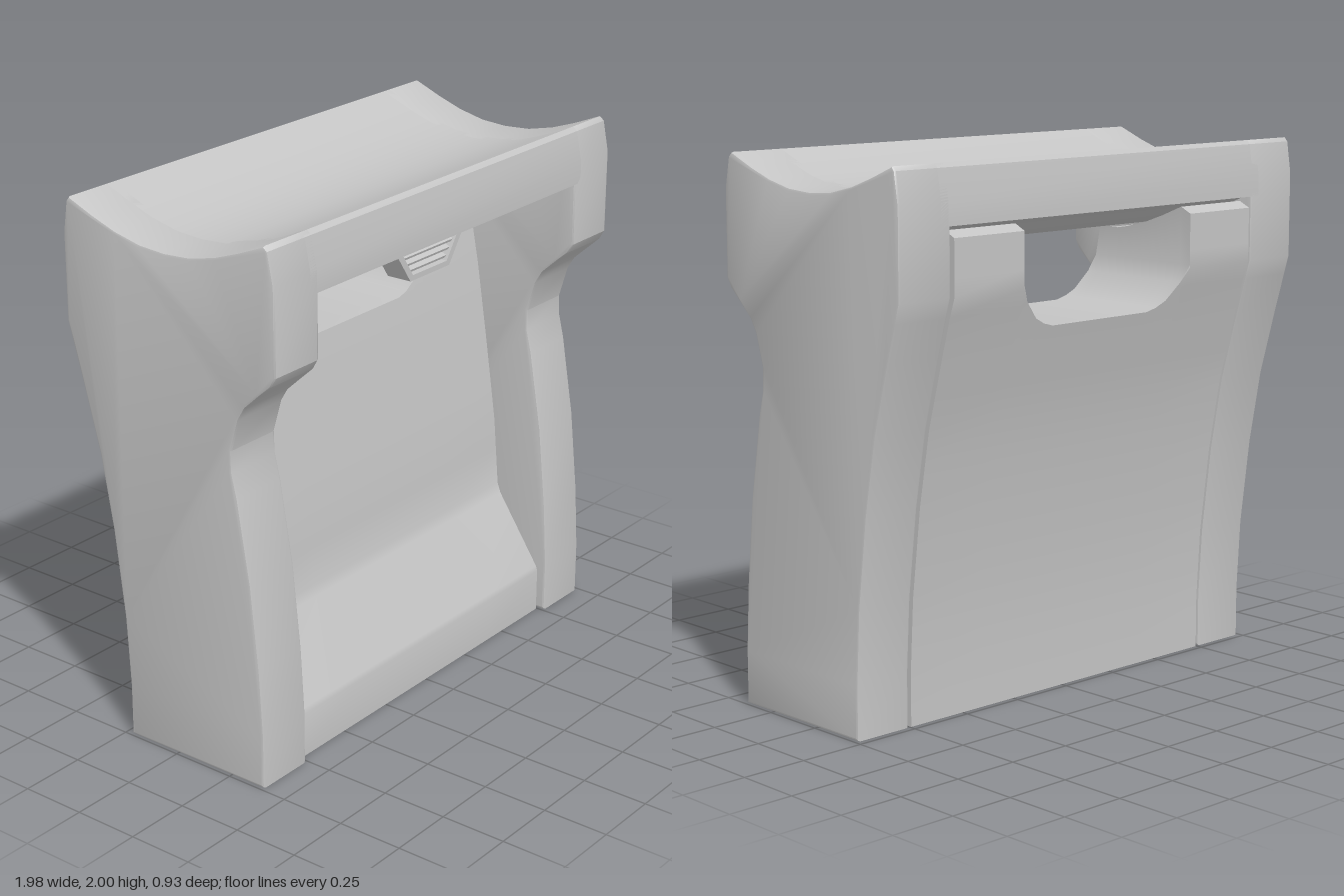
import * as THREE from 'three';
import { toCreasedNormals } from 'three/addons/utils/BufferGeometryUtils.js';

// Saddle-shaped top, as [z, y]; the beam's underside runs parallel to it.
const SADDLE = [[0.43, 2], [0.32, 1.955], [0.22, 1.92], [0.11, 1.895], [0, 1.888],
  [-0.11, 1.895], [-0.22, 1.92], [-0.32, 1.955], [-0.43, 2]];
const BEAM = 0.21;

// Side outlines, bottom to top, as [z, y]
const FRONT = [[0.40, 0], [0.40, 0.2], [0.385, 0.45], [0.352, 0.77], [0.30, 1.08], [0.278, 1.17],
  [0.275, 1.25], [0.31, 1.37], [0.34, 1.42], [0.40, 1.475], [0.45, 1.52], [0.47, 1.555]];
const UPPER_FRONT = [[0.47, 1.87], [0.447, 1.985]];
const BACK = [[-0.225, 0], [-0.225, 0.2], [-0.24, 0.47], [-0.28, 0.8], [-0.33, 1.08],
  [-0.40, 1.34], [-0.44, 1.48], [-0.46, 1.55]];
const UPPER_BACK = [[-0.46, 1.87], [-0.442, 1.985]];

// Front face of the panel
const PANEL_FRONT = [[0.37, 0], [0.37, 0.18], [0.17, 0.48], [0.145, 0.77], [0.10, 1.08], [0.05, 1.4], [0, 1.66]];

// Piecewise linear lookup of column b at column a = v
function lookup(rows, a, b, v) {
  for (let i = 1; i < rows.length; i++) {
    const p = rows[i - 1], q = rows[i];
    if ((v - p[a]) * (v - q[a]) <= 0) return p[b] + (q[b] - p[b]) * (v - p[a]) / (q[a] - p[a]);
  }
  return rows[rows.length - 1][b];
}

// Extrude a [z, y] outline along x from x0 to x1
function sideExtrude(points, x0, x1, bevel) {
  const shape = new THREE.Shape(points.map(([z, y]) => new THREE.Vector2(-z, y)));
  const geo = new THREE.ExtrudeGeometry(shape, {
    depth: x1 - x0 - 2 * bevel, bevelEnabled: bevel > 0, bevelThickness: bevel,
    bevelSize: bevel, bevelOffset: -bevel, bevelSegments: 2,
  });
  geo.rotateY(Math.PI / 2).translate(x0 + bevel, 0, 0);
  return toCreasedNormals(geo, 0.5);
}

// Panel cross-section in z-y, cut off at height h
function panelSection(h) {
  const pts = [];
  const N = 14, M = 10;
  const yf = Math.min(h, 1.66), yb = Math.min(h, 1.75);
  const frontY = [0, 0.17, 0.19, 0.46, 0.5, 0.65, 0.77, 0.92, 1.08, 1.2, 1.3, 1.4, 1.55, 1.66];
  for (let j = 0; j < N; j++) {
    const y = Math.min(frontY[j], yf);
    pts.push([lookup(PANEL_FRONT, 1, 0, y), y]);
  }
  const zf = pts[N - 1][0], zb = lookup(BACK, 1, 0, yb) - (yb > 1.5 ? 0.003 : 0);
  for (let k = 1; k < M; k++) {
    const z = zf + (zb - zf) * k / M;
    pts.push([z, Math.min(h, lookup(SADDLE, 0, 1, z) - BEAM - 0.012)]);
  }
  pts.push([zb, yb]);
  for (const y of [1.62, 1.55, 1.48, 1.34, 1.2, 1.08, 0.94, 0.8, 0.63, 0.47, 0.33, 0.2, 0]) {
    const v = Math.min(y, yb);
    pts.push([lookup(BACK, 1, 0, v) - (v > 1.5 ? 0.003 : 0), v]);
  }
  return pts;
}

// Loft the panel across x, with the handle notch given by the section heights
function panelGeometry() {
  const half = [[0.745, 3], [0.42, 3], [0.42, 1.56], [0.39, 1.5], [0.33, 1.435], [0.285, 1.412], [0.24, 1.4]];
  const stations = [...half.map(([x, h]) => [-x, h]), ...half.slice().reverse()];
  const sections = stations.map(([, h]) => panelSection(h));
  const n = sections[0].length, pos = [], idx = [];
  sections.forEach((s, i) => s.forEach(([z, y]) => pos.push(stations[i][0], y, z)));
  for (let i = 0; i < stations.length - 1; i++) {
    for (let j = 0; j < n; j++) {
      const k = (j + 1) % n;
      const a = i * n + j, b = a + n, c = (i + 1) * n + k, d = i * n + k;
      idx.push(a, b, c, a, c, d);
    }
  }
  // Flat ends
  const contour = sections[0].map(([z, y]) => new THREE.Vector2(-z, y)).reverse();
  const last = (stations.length - 1) * n;
  for (const [a, b, c] of THREE.ShapeUtils.triangulateShape(contour, [])) {
    const [p, q, r] = [n - 1 - a, n - 1 - b, n - 1 - c];
    idx.push(last + p, last + q, last + r, p, r, q);
  }
  const geo = new THREE.BufferGeometry();
  geo.setAttribute('position', new THREE.Float32BufferAttribute(pos, 3));
  geo.setIndex(idx);
  return toCreasedNormals(geo, 0.5);
}

// Trapezoid path, wide at the top
function trapezoid(path, top, bottom, y1, y0) {
  path.moveTo(-bottom, y0);
  path.lineTo(bottom, y0);
  path.lineTo(top, y1);
  path.lineTo(-top, y1);
  path.closePath();
  return path;
}

export function createModel() {
  const model = new THREE.Group();
  model.name = 'archedBlock';
  const grey = new THREE.MeshStandardMaterial({ color: 0xc4c4c4 });
  grey.name = 'lightGrey';
  const add = (name, geo, parent = model) => {
    const mesh = new THREE.Mesh(geo, grey);
    mesh.name = name;
    parent.add(mesh);
    return mesh;
  };

  // Side legs, full height
  const legOutline = [...FRONT, ...UPPER_FRONT, ...SADDLE, ...UPPER_BACK.slice().reverse(), ...BACK.slice().reverse()];
  add('leftLeg', sideExtrude(legOutline, 0.757, 0.99, 0.01));
  add('rightLeg', sideExtrude(legOutline, -0.99, -0.757, 0.01));

  // Curved beam joining the legs
  const under = SADDLE.map(([z, y]) => [z, y - BEAM]).reverse();
  const beamOutline = [[0.47, 2 - BEAM], ...UPPER_FRONT, ...SADDLE,
    ...UPPER_BACK.slice().reverse(), [-0.46, 2 - BEAM], ...under];
  add('topBeam', sideExtrude(beamOutline, -0.8, 0.8, 0));

  // Centre panel with the handle notch
  add('centrePanel', panelGeometry());

  // Small louvred latch hanging under the beam
  const latch = new THREE.Group();
  latch.name = 'latch';
  model.add(latch);
  const frame = trapezoid(new THREE.Shape(), 0.21, 0.115, 1.765, 1.628);
  frame.holes.push(trapezoid(new THREE.Path(), 0.165, 0.1, 1.742, 1.648));
  add('latchFrame', new THREE.ExtrudeGeometry(frame, { depth: 0.1, bevelEnabled: false }), latch).position.z = 0.265;
  const plate = trapezoid(new THREE.Shape(), 0.18, 0.11, 1.75, 1.64);
  add('latchPlate', new THREE.ExtrudeGeometry(plate, { depth: 0.05, bevelEnabled: false }), latch).position.z = 0.27;
  for (let i = 0; i < 3; i++) {
    const slat = add('latchSlat', new THREE.BoxGeometry(0.22 + 0.04 * i, 0.01, 0.04), latch);
    slat.position.set(0, 1.668 + 0.026 * i, 0.335);
    slat.rotation.x = 0.4;
  }
  return model;
}
